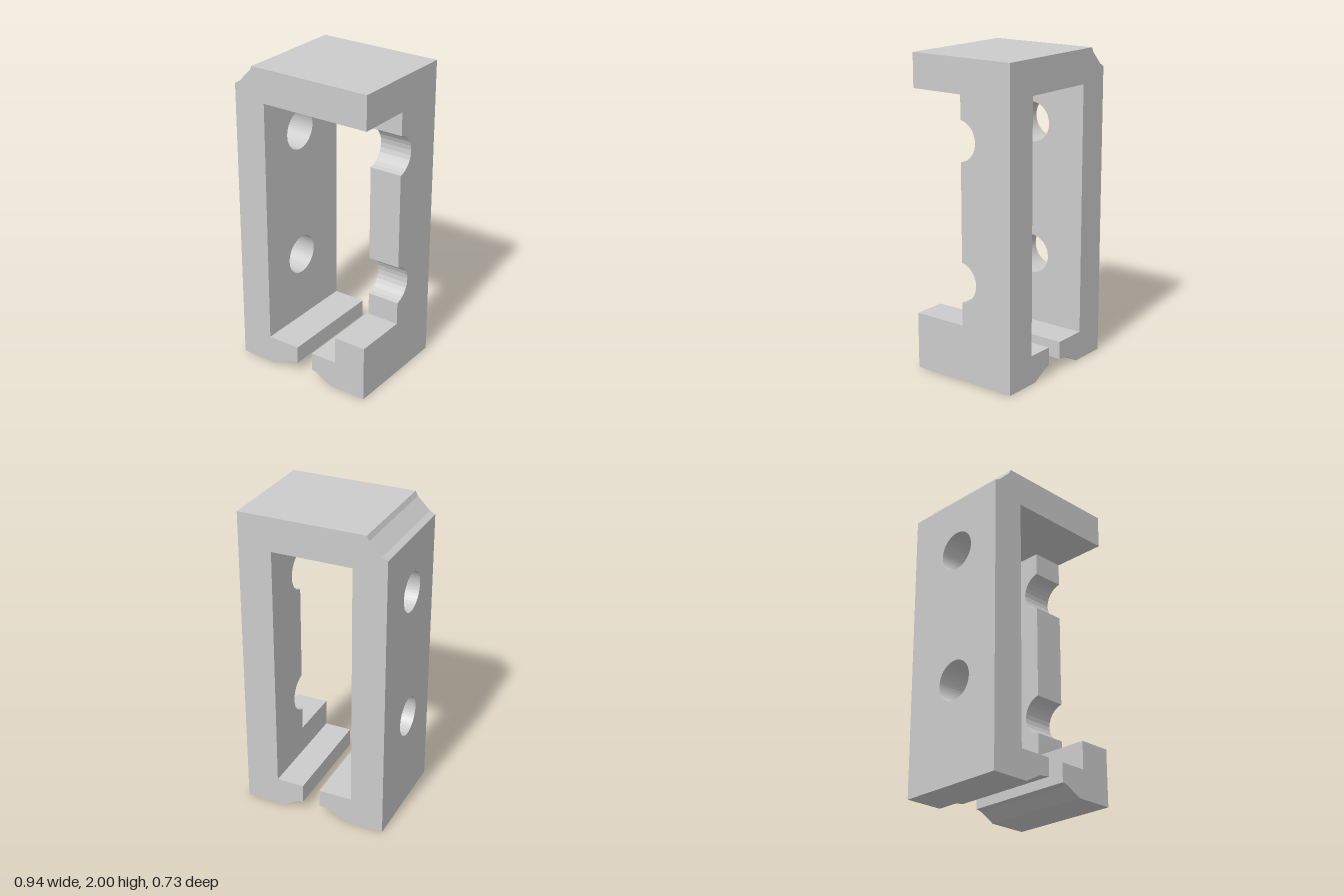
import * as THREE from 'three';

const HALF = 0.3625;                 // half depth along z
const LEFT = -0.475, RIGHT = 0.47;   // outer faces
const IN_LEFT = -0.26, IN_RIGHT = 0.255;
const FLOOR = 0.185, CEILING = 1.785;
const HOLE_Z = 0.02, HOLE_R = 0.128, HOLE_Y = [1.51, 0.64];

const material = new THREE.MeshStandardMaterial({ color: 0xcccccc, flatShading: true });

const outline = (points) => new THREE.Shape(points.map(([x, y]) => new THREE.Vector2(x, y)));

// Front-view outline (x, y) run through the full depth
function bar(name, points) {
  const geometry = new THREE.ExtrudeGeometry(outline(points), { depth: 2 * HALF, bevelEnabled: false });
  geometry.translate(0, 0, -HALF);
  const mesh = new THREE.Mesh(geometry, material);
  mesh.name = name;
  return mesh;
}

// Side-view outline (-z, y) run from x0 to x1
function wall(name, shape, x0, x1) {
  const geometry = new THREE.ExtrudeGeometry(shape, { depth: x1 - x0, bevelEnabled: false, curveSegments: 24 });
  geometry.rotateY(Math.PI / 2).translate(x0, 0, 0);
  const mesh = new THREE.Mesh(geometry, material);
  mesh.name = name;
  return mesh;
}

export function createModel() {
  const model = new THREE.Group();
  model.name = 'bracket';

  // Top beam with the stepped corner chamfer
  model.add(bar('topBeam', [
    [LEFT, CEILING], [RIGHT, CEILING], [RIGHT, 2], [-0.345, 2],
    [-0.36, 1.97], [-0.44, 1.89], [LEFT, 1.87],
  ]));

  // Feet with lips facing each other across the slot
  model.add(bar('leftFoot', [
    [LEFT, 0], [-0.225, 0], [-0.115, 0.06], [-0.04, 0.07], [-0.04, FLOOR], [LEFT, FLOOR],
  ]));
  model.add(bar('rightFoot', [
    [RIGHT, 0], [RIGHT, FLOOR], [0.075, FLOOR], [0.075, 0.063], [0.115, 0.055], [0.215, 0],
  ]));

  // Left wall with two round holes
  const leftShape = outline([[-HALF, FLOOR], [HALF, FLOOR], [HALF, CEILING], [-HALF, CEILING]]);
  for (const y of HOLE_Y) {
    leftShape.holes.push(new THREE.Path().absarc(-HOLE_Z, y, HOLE_R, 0, Math.PI * 2, true));
  }
  model.add(wall('leftWall', leftShape, LEFT, IN_LEFT));

  // Right wall: front half cut away, the holes bite into its front edge
  const half = Math.acos(HOLE_Z / HOLE_R);
  const rightPoints = [[-HALF, FLOOR], [HALF, FLOOR], [HALF, CEILING], [0, CEILING]];
  const steps = 12;
  for (const y of HOLE_Y) {
    for (let i = 0; i <= steps; i++) {
      const a = half - (2 * half * i) / steps;
      rightPoints.push([-HOLE_Z + HOLE_R * Math.cos(a), y + HOLE_R * Math.sin(a)]);
    }
  }
  rightPoints.push([0, 0.365], [-HALF, 0.365]);
  model.add(wall('rightWall', outline(rightPoints), IN_RIGHT, RIGHT));

  return model;
}
